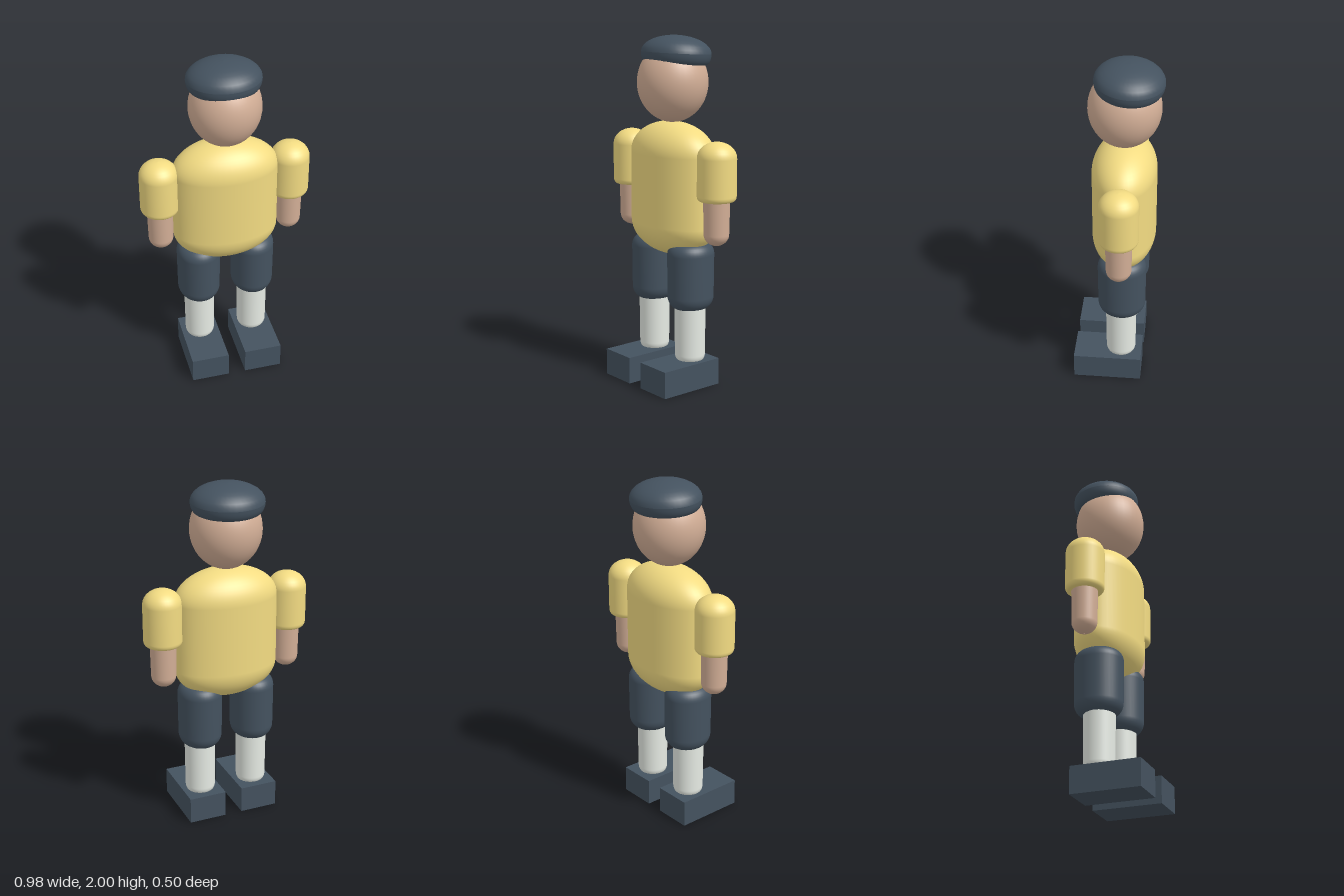
import * as THREE from 'three';

const Z = -0.03; // body axis depth

const mats = {
  shirt: new THREE.MeshStandardMaterial({ color: 0xf2db82 }),
  skin: new THREE.MeshStandardMaterial({ color: 0xd2ae96 }),
  navy: new THREE.MeshStandardMaterial({ color: 0x44525f }),
  sock: new THREE.MeshStandardMaterial({ color: 0xe6ebe4 }),
};

function add(parent, name, geometry, material, x, y, z) {
  const mesh = new THREE.Mesh(geometry, material);
  mesh.name = name;
  mesh.position.set(x, y, z);
  parent.add(mesh);
  return mesh;
}

// Upright round limb whose ends are elliptical fillets (corner width w, height h)
function limb(r, y0, y1, [wBottom, hBottom], [wTop, hTop], rBottom = r) {
  const pts = [new THREE.Vector2(0, y0)];
  const n = 8;
  for (let i = 0; i <= n; i++) {
    const a = (i / n) * Math.PI / 2;
    pts.push(new THREE.Vector2(rBottom - wBottom + wBottom * Math.sin(a), y0 + hBottom - hBottom * Math.cos(a)));
  }
  for (let i = 0; i <= n; i++) {
    const a = (i / n) * Math.PI / 2;
    pts.push(new THREE.Vector2(Math.max(0, r - wTop + wTop * Math.cos(a)), y1 - hTop + hTop * Math.sin(a)));
  }
  if (wTop < r) pts.push(new THREE.Vector2(0, y1));
  return new THREE.LatheGeometry(pts, 40);
}

export function createModel() {
  const model = new THREE.Group();
  model.name = 'footballPlayer';

  // Torso: a capsule stretched sideways
  const torso = add(model, 'torso', new THREE.CapsuleGeometry(0.183, 0.402, 14, 48), mats.shirt, 0, 1.135, Z);
  torso.scale.x = 0.305 / 0.183;

  // Head: slightly tall ball
  const head = add(model, 'head', new THREE.SphereGeometry(0.202, 40, 28), mats.skin, 0, 1.738, Z);
  head.scale.y = 0.225 / 0.202;

  // Cap: flattened dome tipped towards the back
  const cap = add(model, 'cap', limb(0.208, -0.062, 0.1, [0.035, 0.062], [0.208, 0.1]), mats.navy, 0, 1.9, -0.055);
  cap.scale.z = 0.193 / 0.208;
  cap.rotation.x = -0.06;

  for (const side of [1, -1]) {
    const name = side > 0 ? 'left' : 'right';

    // Arm: short sleeve over a round-ended forearm
    const arm = new THREE.Group();
    arm.name = name + 'Arm';
    arm.position.set(side * 0.38, 0, Z);
    model.add(arm);
    add(arm, name + 'Sleeve', limb(0.11, 1.112, 1.44, [0.02, 0.03], [0.11, 0.09]), mats.shirt, 0, 0, 0);
    add(arm, name + 'Forearm', limb(0.075, 0.86, 1.16, [0.075, 0.065], [0.02, 0.02], 0.071), mats.skin, 0, 0, 0);

    // Leg: shorts, sock and block shoe
    const leg = new THREE.Group();
    leg.name = name + 'Leg';
    leg.position.x = side * 0.163;
    model.add(leg);
    const shorts = add(leg, name + 'ShortsLeg',
      limb(0.126, 0.455, 0.84, [0.06, 0.075], [0.055, 0.065], 0.124), mats.navy, 0, 0, Z);
    shorts.scale.z = 0.14 / 0.126;
    add(leg, name + 'Sock', limb(0.09, 0.145, 0.5, [0.025, 0.04], [0.01, 0.01], 0.087), mats.sock, 0, 0, Z + 0.004);
    add(leg, name + 'Shoe', new THREE.BoxGeometry(0.223, 0.155, 0.4), mats.navy, 0, 0.0775, 0.05);
  }

  return model;
}
